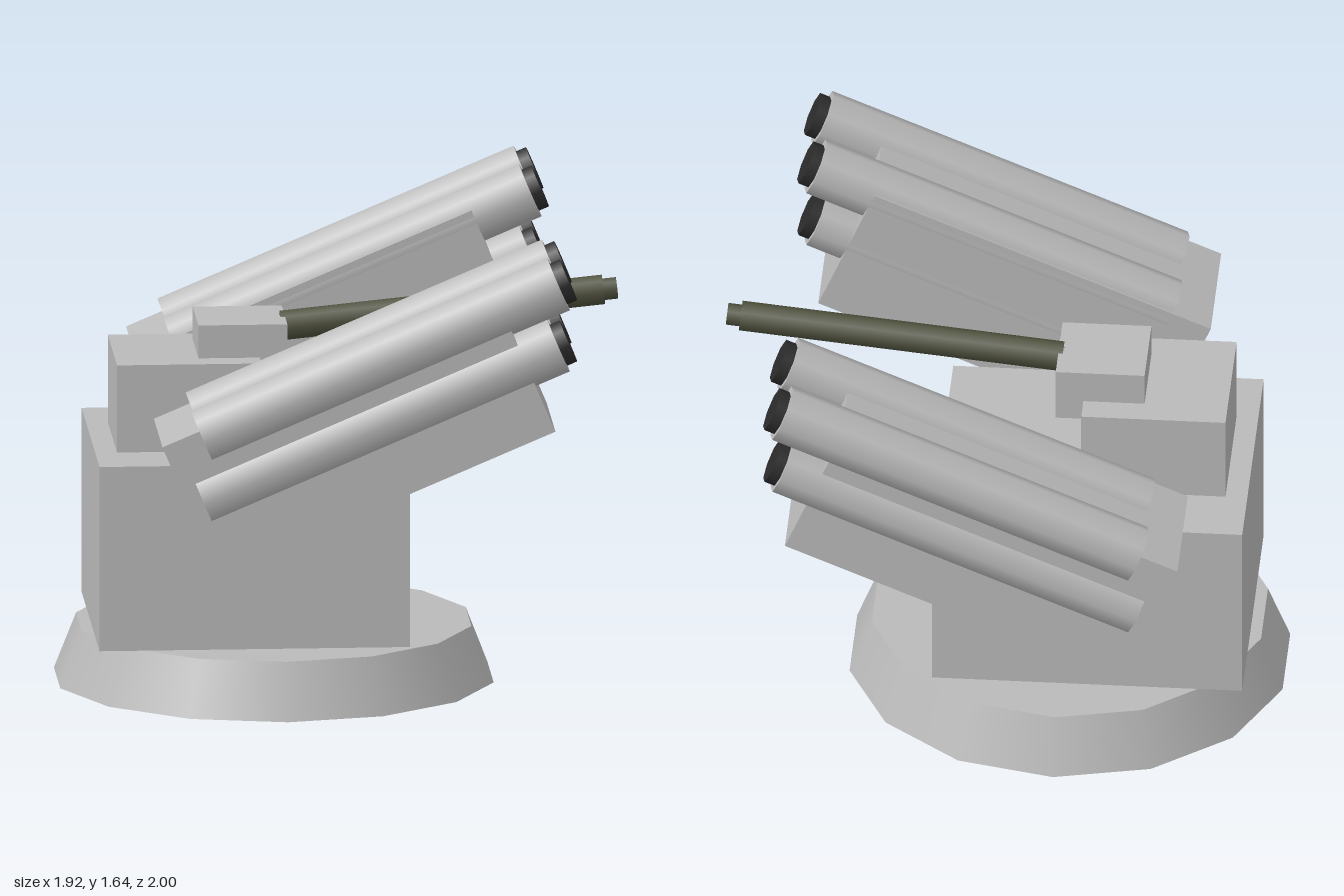
import * as THREE from 'three';

const mat = (name, color) => new THREE.MeshStandardMaterial({ name, color });

export function createModel() {
  const grey = mat('light grey armour', 0xb9b9b9);
  const dark = mat('black muzzle', 0x2b2b2b);
  const olive = mat('olive gun metal', 0x50523f);
  const model = new THREE.Group();
  model.name = 'missileTurret';

  const add = (parent, name, geometry, material, x, y, z) => {
    const mesh = new THREE.Mesh(geometry, material);
    mesh.name = name;
    mesh.position.set(x, y, z);
    parent.add(mesh);
    return mesh;
  };
  // Box given by its lower and upper x and y, centred on z
  const block = (name, x0, x1, y0, y1, depth) =>
    add(model, name, new THREE.BoxGeometry(x1 - x0, y1 - y0, depth), grey, (x0 + x1) / 2, (y0 + y1) / 2, 0);
  // Cylinder lying along the parent's x axis
  const rod = (parent, name, material, r, x0, x1, y, z) => {
    const geometry = new THREE.CylinderGeometry(r, r, x1 - x0, 8).rotateZ(-Math.PI / 2);
    return add(parent, name, geometry, material, (x0 + x1) / 2, y, z);
  };

  // Base plinth and stacked body
  add(model, 'base', new THREE.CylinderGeometry(0.685, 0.762, 0.195, 14), grey, -0.222, 0.0975, 0);
  block('body', -0.85, 0.215, 0.195, 0.84, 0.95);
  block('upperBody', -0.775, -0.28, 0.84, 1.145, 0.494);
  block('gunMount', -0.49, -0.185, 1.072, 1.26, 0.304);

  // Central gun, slightly raised
  const gun = new THREE.Group();
  gun.name = 'gun';
  gun.position.set(0.36, 1.279, 0);
  gun.rotation.z = 0.1;
  model.add(gun);
  rod(gun, 'gunBarrel', olive, 0.052, -0.56, 0.55, 0, 0);
  rod(gun, 'gunCore', olive, 0.038, -0.59, 0.597, 0, 0);

  // Tilted launcher pods, one on each side in z
  for (const side of [1, -1]) {
    const pod = new THREE.Group();
    pod.name = side > 0 ? 'frontLauncher' : 'backLauncher';
    pod.position.set(0.0075, 1.0325, side * 0.74);
    pod.rotation.z = THREE.MathUtils.degToRad(23);
    model.add(pod);
    add(pod, 'launcherBox', new THREE.BoxGeometry(1.254, 0.493, 0.46), grey, 0, 0, 0);

    // Two rows of tubes, the upper row stepped forward
    for (const [row, y, start, end] of [['upper', 0.209, -0.489, 0.837], ['lower', 0.012, -0.573, 0.753]]) {
      for (const z of [-0.135, 0.16]) {
        rod(pod, row + 'Tube', grey, 0.1, start, end, y, side * z);
        rod(pod, row + 'Muzzle', dark, 0.078, end - 0.02, end + 0.037, y, side * z);
      }
    }
  }
  return model;
}
